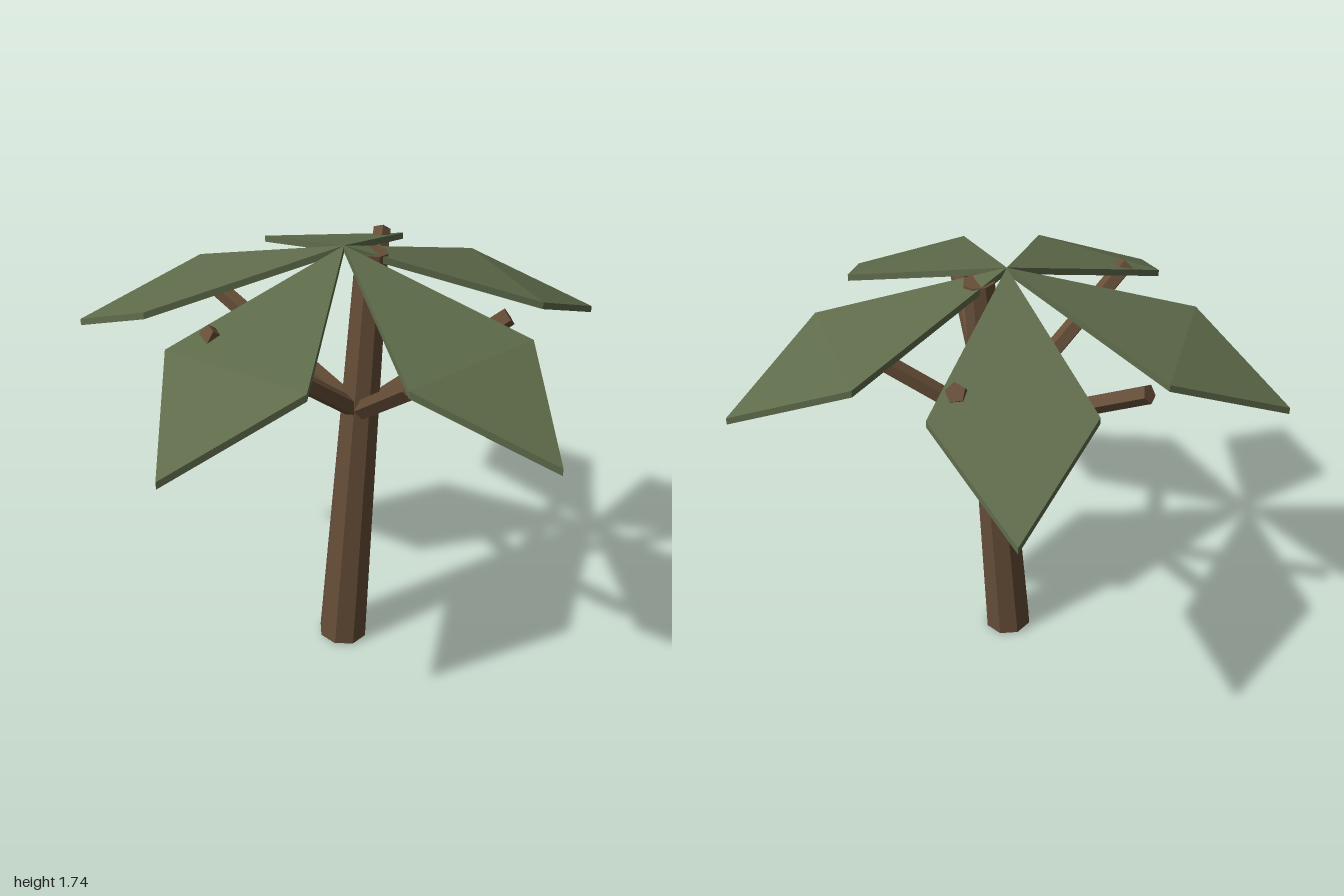
import * as THREE from 'three';

const bark = new THREE.MeshStandardMaterial({ color: 0x664e38, flatShading: true });
const foliage = new THREE.MeshStandardMaterial({ color: 0x5f6c4b, flatShading: true });

// Tapered straight limb between two points
function limb(name, from, to, r0, r1, sides, spin) {
  const a = new THREE.Vector3(...from), b = new THREE.Vector3(...to);
  const dir = b.clone().sub(a);
  const geo = new THREE.CylinderGeometry(r1, r0, dir.length(), sides);
  geo.rotateY(spin);
  const mesh = new THREE.Mesh(geo, bark);
  mesh.name = name;
  mesh.position.copy(a).add(b).multiplyScalar(0.5);
  mesh.quaternion.setFromUnitVectors(new THREE.Vector3(0, 1, 0), dir.normalize());
  return mesh;
}

// Kite-shaped slab pointing to -z, folded down across its widest line
function leafGeometry() {
  const thickness = 0.026;
  // Apex, right corner, tip, left corner: counter-clockwise from above
  const outline = [[0, 1.735, 0], [0.28, 1.53, -0.65], [0, 1.332, -1.05], [-0.28, 1.53, -0.65]];
  const points = [...outline, ...outline.map(([x, y, z]) => [x, y - thickness, z])].flat();
  // Top and underside
  const faces = [0, 1, 3, 1, 2, 3, 4, 7, 5, 5, 7, 6];
  // Rim
  for (let i = 0; i < 4; i++) {
    const j = (i + 1) % 4;
    faces.push(i, i + 4, j, j, i + 4, j + 4);
  }
  const geo = new THREE.BufferGeometry();
  geo.setAttribute('position', new THREE.Float32BufferAttribute(points, 3));
  geo.setIndex(faces);
  const flat = geo.toNonIndexed();
  flat.computeVertexNormals();
  return flat;
}

export function createModel() {
  const tree = new THREE.Group();
  tree.name = 'tree';

  // Leaning eight-sided trunk
  tree.add(limb('trunk', [-0.005, 0.006, 0.1], [0.1, 1.7, 0.07], 0.1, 0.06, 8, Math.PI / 8));

  // Branches fanning out from the fork
  const fork = [0.06, 1.07, 0.095];
  const ends = [
    [-0.475, 1.57, 0.44],
    [0.185, 1.58, -0.465],
    [0.6, 1.45, 0.1],
    [-0.48, 1.44, -0.28],
    [0.185, 1.46, 0.65],
  ];
  const branches = new THREE.Group();
  branches.name = 'branches';
  ends.forEach((end, i) => branches.add(limb(`branch${i + 1}`, fork, end, 0.038, 0.036, 5, 0)));
  tree.add(branches);

  // Crown of five leaves
  const crown = new THREE.Group();
  crown.name = 'crown';
  crown.position.z = 0.1;
  const geo = leafGeometry();
  for (let i = 0; i < 5; i++) {
    const leaf = new THREE.Mesh(geo, foliage);
    leaf.name = `leaf${i + 1}`;
    leaf.rotation.y = (i * Math.PI * 2) / 5;
    crown.add(leaf);
  }
  tree.add(crown);
  return tree;
}
